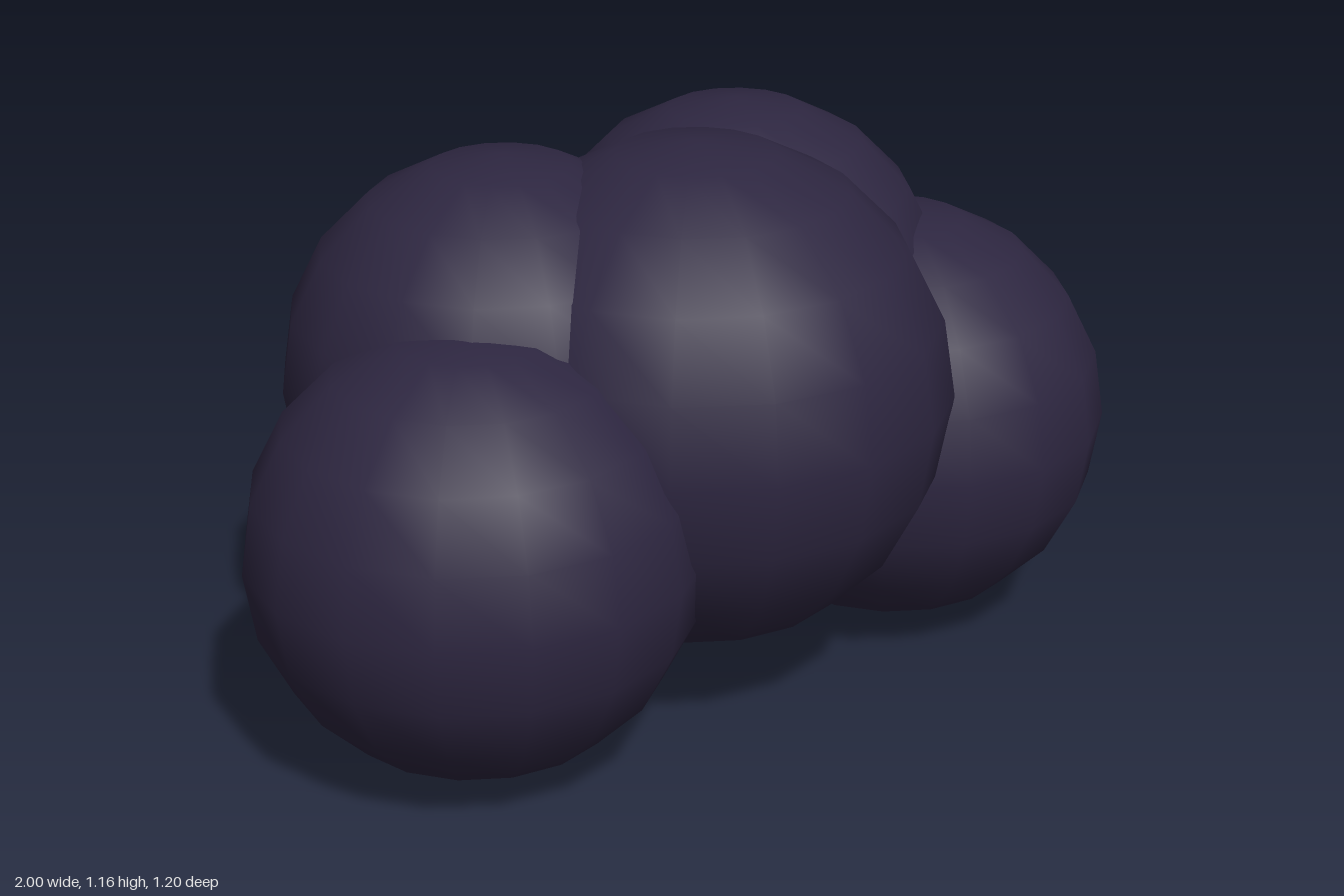
import * as THREE from 'three';

export function createModel() {
  const group = new THREE.Group();
  const material = new THREE.MeshStandardMaterial({ color: 0x2d2640 });

  // One rounded lobe of the cluster
  function addLobe(name, radius, x, y, z) {
    const lobe = new THREE.Mesh(new THREE.SphereGeometry(radius, 16, 10), material);
    lobe.name = name;
    lobe.position.set(x, y, z);
    group.add(lobe);
  }

  // Large middle lobe
  addLobe('centreLobe', 0.52, 0, 0.64, 0.08);

  // Mirrored pairs: low outer lobes and high rear lobes
  for (const [side, s] of [['left', 1], ['right', -1]]) {
    addLobe(side + 'SideLobe', 0.45, s * 0.55, 0.453, 0.08);
    addLobe(side + 'BackLobe', 0.45, s * 0.3, 0.685, -0.15);
  }

  return group;
}
